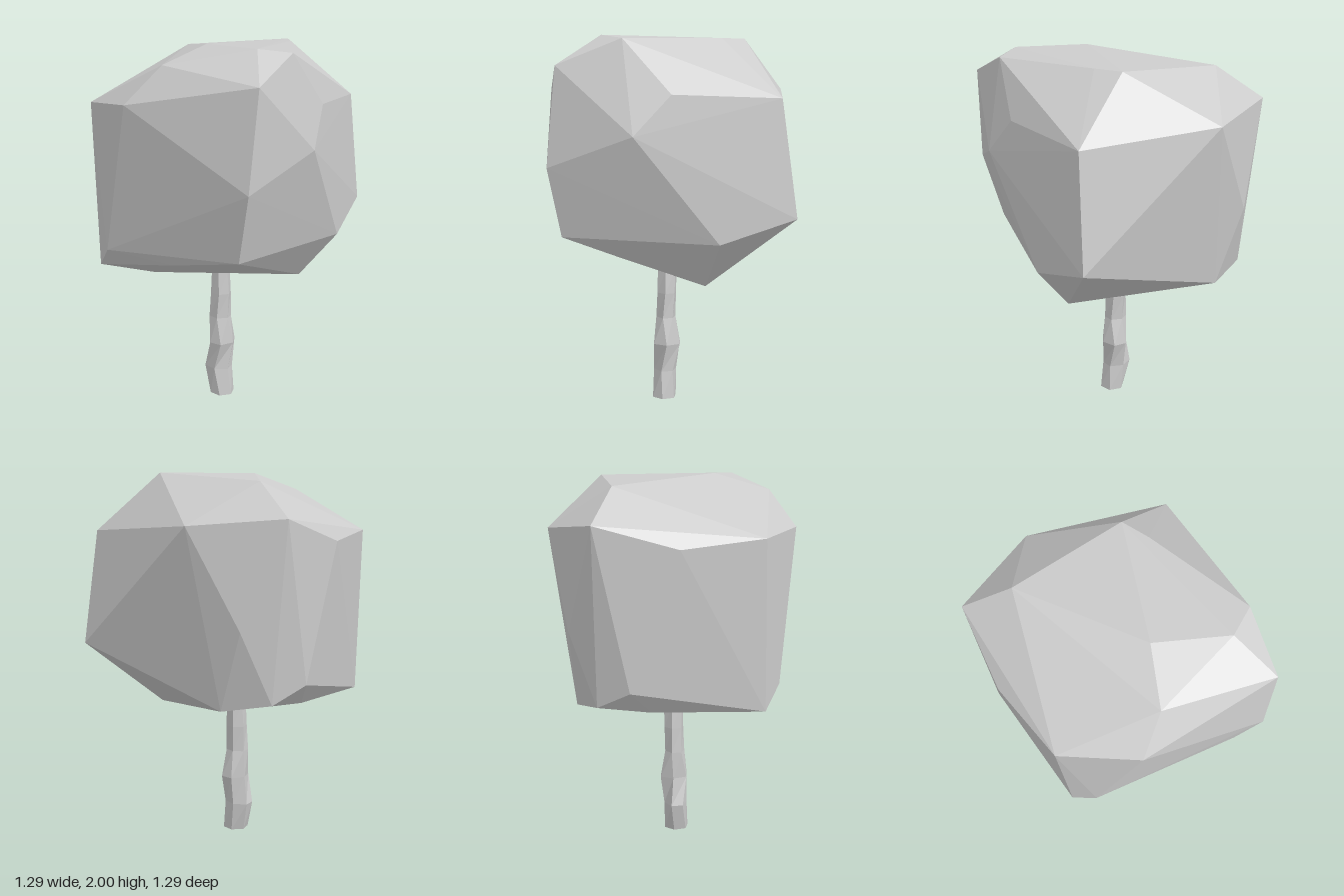
import * as THREE from 'three';
import { ConvexGeometry } from 'three/addons/geometries/ConvexGeometry.js';

const material = new THREE.MeshStandardMaterial({ color: 0xcccccc, flatShading: true });

// Faceted crown: the hull of a few irregular corners
function createCrown() {
  const corners = [
    // top
    [-0.4, 1.94, -0.315], [0.2, 1.99, -0.38], [0.28, 1.99, -0.25], [0.54, 1.98, 0.265],
    [0.4, 2, 0.365], [0.045, 2, 0.235], [-0.04, 1.915, 0.52],
    // shoulder
    [-0.64, 1.76, -0.415], [-0.2, 1.725, -0.65], [0.525, 1.69, -0.525], [0.6, 1.71, 0.03],
    [0.53, 1.85, 0.59], [-0.185, 1.725, 0.645], [-0.54, 1.69, 0.44], [-0.645, 1.645, 0.01],
    // middle
    [0.555, 1.09, -0.605], [0.645, 1.51, 0.22], [0.505, 1.35, 0.64], [-0.45, 1.22, -0.54],
    // lower rim
    [0.6, 0.97, -0.21], [0.42, 0.99, 0.575], [0, 0.9, 0.52], [-0.39, 0.93, 0.54], [-0.63, 0.94, -0.235],
    // underside
    [0.4, 0.72, -0.16], [-0.26, 0.755, 0.29], [-0.5, 0.81, 0.455],
    [-0.53, 0.82, -0.13], [-0.54, 0.85, -0.4], [-0.305, 0.81, -0.51],
  ];
  const crown = new THREE.Mesh(
    new ConvexGeometry(corners.map((c) => new THREE.Vector3(...c))), material);
  crown.name = 'crown';
  return crown;
}

// Gnarled trunk: a six-sided column whose rings are shifted, stretched and twisted
function createTrunk() {
  // [y, centre x, centre z, half width x, half width z, twist]
  const rings = [
    [0, 0.017, 0.028, 0.069, 0.069, 0.3],
    [0.155, -0.01, 0.022, 0.082, 0.064, 0.1],
    [0.31, 0.01, 0.013, 0.072, 0.084, 0.45],
    [0.46, -0.002, 0.018, 0.064, 0.055, 0.15],
    [0.6, 0, 0.013, 0.06, 0.056, 0.3],
    [0.73, -0.002, 0.01, 0.05, 0.056, 0.3],
    [0.9, 0, 0.01, 0.05, 0.055, 0.3],
  ];
  const last = rings.length - 1;
  const geometry = new THREE.CylinderGeometry(1, 1, last, 6, last);
  const p = geometry.attributes.position;
  for (let i = 0; i < p.count; i++) {
    const [y, cx, cz, rx, rz, twist] = rings[Math.round(p.getY(i) + last / 2)];
    const radius = Math.hypot(p.getX(i), p.getZ(i));
    const angle = Math.atan2(p.getX(i), p.getZ(i)) + twist;
    p.setXYZ(i, cx + rx * radius * Math.sin(angle), y, cz + rz * radius * Math.cos(angle));
  }
  geometry.computeVertexNormals();
  const trunk = new THREE.Mesh(geometry, material);
  trunk.name = 'trunk';
  return trunk;
}

export function createModel() {
  const tree = new THREE.Group();
  tree.name = 'tree';
  tree.add(createTrunk(), createCrown());
  return tree;
}
